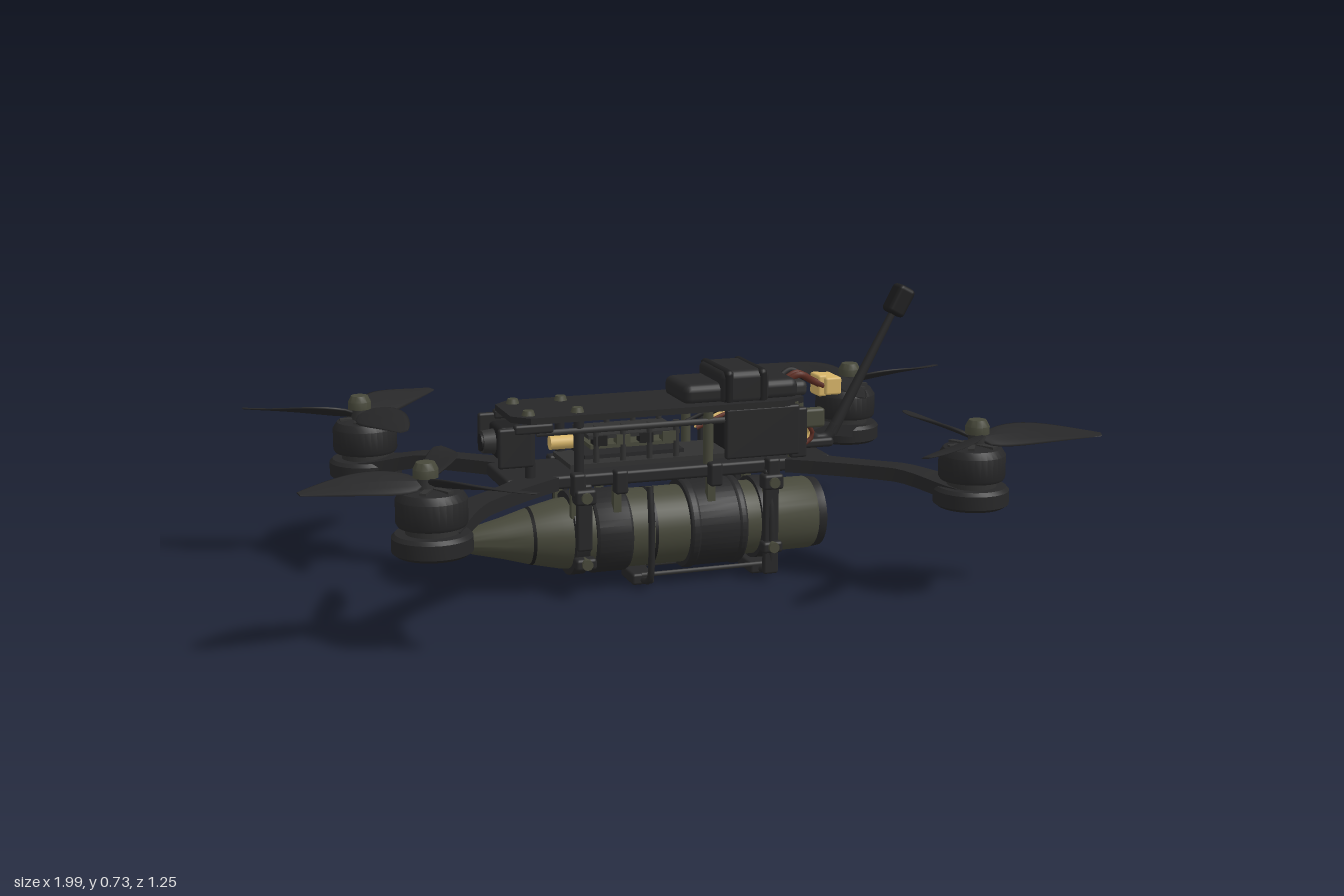
import * as THREE from 'three';
import { toCreasedNormals } from 'three/addons/utils/BufferGeometryUtils.js';
import { RoundedBoxGeometry } from 'three/addons/geometries/RoundedBoxGeometry.js';

const paint = (name, color) => Object.assign(new THREE.MeshStandardMaterial({ color }), { name });
const black = paint('carbon black', 0x272728);
const dark = paint('rubber black', 0x1e1e1f);
const grey = paint('plastic grey', 0x313131);
const olive = paint('olive', 0x47483a);
const tan = paint('connector tan', 0xd6b468);
const red = paint('wire red brown', 0x5c2c22);
const ZC = -0.008; // centre line of the fuselage
const SY = 0.142; // height of the payload axis

function add(parent, name, geo, mat, x = 0, y = 0, z = 0) {
  const m = new THREE.Mesh(geo, mat);
  m.name = name;
  m.position.set(x, y, z);
  parent.add(m);
  return m;
}
const box = (w, h, d, r = 0) => r ? new RoundedBoxGeometry(w, h, d, 2, r) : new THREE.BoxGeometry(w, h, d);
const cyl = (r1, r2, h, n = 24) => new THREE.CylinderGeometry(r1, r2, h, n);
const tube = (pts, r, n = 24) => new THREE.TubeGeometry(
  new THREE.CatmullRomCurve3(pts.map(p => new THREE.Vector3(...p)), false, 'centripetal'), n, r, 8);
const lathe = (pts, n = 32) => toCreasedNormals(
  new THREE.LatheGeometry(pts.map(p => new THREE.Vector2(...p)), n), 0.6);
const alongX = g => g.rotateZ(-Math.PI / 2);

// Twisted propeller blade pointing along +x; s sets the turning direction
function bladeGeometry(s) {
  const g = new THREE.CylinderGeometry(1, 1, 1, 12, 14);
  const p = g.attributes.position;
  for (let i = 0; i < p.count; i++) {
    const t = p.getY(i) + 0.5;
    const chord = 0.012 + 0.041 * Math.pow(Math.sin(Math.PI * Math.pow(t, 0.75)), 0.8) * (1 - 0.15 * t);
    const thick = 0.006 * (1 - 0.75 * t) + 0.0005;
    const c = p.getX(i) * chord - s * 0.016 * Math.sin(Math.PI * t);
    const h = p.getZ(i) * thick;
    const a = s * (0.5 - 0.35 * t);
    p.setXYZ(i, 0.012 + t * 0.293, h * Math.cos(a) - c * Math.sin(a) + 0.012 * t,
      c * Math.cos(a) + h * Math.sin(a));
  }
  g.computeVertexNormals();
  return g;
}

// Arm bar with a flared, slightly lowered outer end, running along +x
function armGeometry(len) {
  const g = new THREE.BoxGeometry(1, 0.034, 1, 16, 1, 1);
  const p = g.attributes.position;
  for (let i = 0; i < p.count; i++) {
    const t = p.getX(i) + 0.5;
    const w = 0.058 + 0.035 * Math.pow(1 - t, 4) + 0.085 * Math.pow(t, 5);
    const drop = 0.028 * THREE.MathUtils.smoothstep(t, 0.6, 1);
    p.setXYZ(i, t * len, p.getY(i) - drop, p.getZ(i) * w);
  }
  return toCreasedNormals(g, 0.6);
}

function motor(x, z, turn, s) {
  const g = new THREE.Group();
  g.name = 'motorUnit';
  g.position.set(x, 0, z);
  const sx = Math.sign(x), sz = Math.sign(z);
  const mx = -sx * 0.012;
  add(g, 'armPad', lathe([[0, 0.234], [0.083, 0.234], [0.094, 0.242], [0.094, 0.276], [0.086, 0.285], [0, 0.285]]), black, mx);
  add(g, 'stator', cyl(0.062, 0.062, 0.03), grey, mx, 0.295);
  add(g, 'motorBell', lathe([[0.06, 0.302], [0.078, 0.302], [0.083, 0.31], [0.083, 0.365], [0.072, 0.382], [0.055, 0.386], [0.03, 0.388], [0, 0.388]]), black, mx);
  for (let i = 0; i < 6; i++) {
    const a = i * Math.PI / 3;
    add(g, 'bellSpoke', box(0.05, 0.006, 0.016), grey, mx + Math.cos(a) * 0.04, 0.388, -Math.sin(a) * 0.04).rotation.y = a;
    add(g, 'padScrew', cyl(0.009, 0.009, 0.006, 8), dark, mx + Math.cos(a) * 0.055, 0.232, Math.sin(a) * 0.055);
  }
  add(g, 'shaft', cyl(0.022, 0.022, 0.05, 16), grey, 0, 0.40);
  add(g, 'propNut', lathe([[0, 0.415], [0.03, 0.415], [0.03, 0.434], [0.022, 0.45], [0, 0.452]], 12), olive);
  for (let i = 0; i < 3; i++) {
    const b = add(g, 'propellerBlade', bladeGeometry(s), black, 0, 0.402);
    b.rotation.y = THREE.MathUtils.degToRad(turn + i * 120);
  }
  // Arm from the fuselage corner out to the motor
  const from = new THREE.Vector2(sx * 0.33 - x, sz * 0.075 + ZC - z);
  const arm = add(g, 'arm', armGeometry(from.length() - 0.03), black, from.x, 0.298, from.y);
  arm.rotation.y = Math.atan2(from.y, -from.x);
  return g;
}

function payload() {
  const g = new THREE.Group();
  g.name = 'payload';
  g.position.set(0, SY, ZC);
  add(g, 'payloadBody', alongX(lathe([[0, -0.51], [0.028, -0.51], [0.034, -0.495], [0.052, -0.42], [0.072, -0.35],
    [0.088, -0.28], [0.096, -0.21], [0.1, -0.1], [0.1, 0.04], [0.096, 0.2], [0.094, 0.4], [0.088, 0.41]], 40)), olive);
  add(g, 'noseJoint', alongX(cyl(0.074, 0.071, 0.008, 40)), dark, -0.35);
  for (const [x, w, r] of [[-0.15, 0.095, 0.107], [0.125, 0.14, 0.112], [0.062, 0.025, 0.116], [0.19, 0.022, 0.116]])
    add(g, 'rubberBand', alongX(lathe([[0.09, -w / 2], [r - 0.004, -w / 2], [r, -w / 2 + 0.006], [r, w / 2 - 0.006], [r - 0.004, w / 2], [0.09, w / 2]], 40)), black, x);
  add(g, 'bodySeam', alongX(cyl(0.101, 0.101, 0.008, 40)), dark, -0.04);
  // Stepped tail with a round core
  add(g, 'tailRing', alongX(lathe([[0.09, 0.405], [0.092, 0.41], [0.09, 0.428], [0.078, 0.43], [0.076, 0.405]], 40)), black);
  add(g, 'tailDish', alongX(lathe([[0.078, 0.41], [0.062, 0.418], [0.06, 0.4], [0, 0.4]], 40)), olive);
  add(g, 'tailCore', alongX(lathe([[0.052, 0.39], [0.052, 0.415], [0.04, 0.425], [0, 0.428]], 32)), dark);
  // Clamps around the payload
  for (const x of [-0.235, 0.262]) {
    const low = x > 0 ? -0.125 : -0.02;
    for (const s of [1, -1]) {
      add(g, 'clampPost', box(0.04, 0.15 - low, 0.018, 0.006), black, x, (0.15 + low) / 2, s * 0.109);
      add(g, 'clampLug', box(0.055, 0.04, 0.04, 0.008), black, x, 0.12, s * 0.112);
      add(g, 'clampLug', box(0.055, 0.03, 0.035, 0.008), black, x, -0.052, s * 0.113);
      add(g, 'clampBolt', cyl(0.014, 0.014, 0.03, 10).rotateX(Math.PI / 2), olive, x, -0.05, s * 0.125);
      add(g, 'clampBolt', cyl(0.014, 0.014, 0.03, 10).rotateX(Math.PI / 2), olive, x, 0.12, s * 0.125);
    }
    add(g, 'clampRing', alongX(lathe([[0.085, -0.018], [0.107, -0.018], [0.107, 0.018], [0.085, 0.018]], 40)), black, x);
  }
  for (const x of [-0.06, 0.262]) {
    add(g, 'strapLoop', tube([[x, 0.13, 0.1], [x, 0.04, 0.113], [x, -0.06, 0.112], [x, -0.11, 0.102], [x, -0.128, 0.06],
      [x, -0.128, -0.06], [x, -0.11, -0.102], [x, -0.06, -0.112], [x, 0.04, -0.113], [x, 0.13, -0.1]], 0.009, 48), black);
    add(g, 'foot', box(0.06, 0.03, 0.1, 0.007), black, x, -0.127);
  }
  for (const s of [1, -1])
    add(g, 'lowerRail', alongX(cyl(0.006, 0.006, 0.33, 8)), grey, 0.1, -0.117, s * 0.045);
  return g;
}

function fuselage() {
  const g = new THREE.Group();
  g.name = 'fuselage';
  g.position.z = ZC;
  // Frame plates and standoffs
  add(g, 'bottomPlate', box(0.86, 0.034, 0.2, 0.008), black, 0.0, 0.298);
  add(g, 'middlePlate', box(0.56, 0.012, 0.16), grey, 0.02, 0.33);
  const top = new THREE.Shape([[-0.41, -0.075], [-0.37, -0.115], [0.3, -0.115], [0.36, -0.08],
    [0.36, 0.08], [0.3, 0.115], [-0.37, 0.115], [-0.41, 0.075]].map(p => new THREE.Vector2(...p)));
  add(g, 'topPlate', new THREE.ExtrudeGeometry(top, { depth: 0.016, bevelEnabled: false }).rotateX(-Math.PI / 2), black, 0, 0.453);
  for (const s of [1, -1]) {
    for (const x of [-0.365, -0.24, 0.1, 0.33]) {
      add(g, 'standoff', cyl(0.013, 0.013, 0.15, 12), x < 0 ? black : olive, x, 0.385, s * 0.085);
      if (x < 0) add(g, 'plateScrew', cyl(0.013, 0.018, 0.014, 12), olive, x, 0.474, s * 0.075);
    }
    for (const x of [-0.25, -0.14, 0.11, 0.265]) {
      add(g, 'frameClamp', box(0.034, 0.06, 0.035, 0.007), black, x, 0.292, s * 0.107);
      add(g, 'hangerPost', box(0.02, 0.09, 0.02), olive, x, 0.245, s * 0.075);
    }
    // Camera cage
    add(g, 'cameraCheek', box(0.09, 0.1, 0.016, 0.007), black, -0.405, 0.395, s * 0.1);
    add(g, 'cameraBumper', box(0.1, 0.025, 0.022, 0.007), black, -0.36, 0.44, s * 0.1);
    add(g, 'sideRail', alongX(cyl(0.008, 0.008, 0.5, 8)), grey, -0.1, 0.425, s * 0.092);
    add(g, 'rearLug', box(0.07, 0.05, 0.03, 0.008), olive, 0.385, 0.41, s * 0.07);
    add(g, 'rearPost', box(0.045, 0.13, 0.02, 0.006), black, 0.34, 0.38, s * 0.095);
    add(g, 'batteryBrace', box(0.2, 0.13, 0.018, 0.006), black, 0.24, 0.39, s * 0.1);
  }
  add(g, 'camera', box(0.07, 0.085, 0.1, 0.012), dark, -0.4, 0.393);
  add(g, 'cameraLens', alongX(cyl(0.033, 0.028, 0.04, 20)), grey, -0.445, 0.393);
  add(g, 'cameraGlass', alongX(cyl(0.022, 0.022, 0.006, 20)), dark, -0.467, 0.393);
  // Electronics stack
  for (const [y, w, m] of [[0.35, 0.26, black], [0.375, 0.23, olive], [0.4, 0.24, grey]])
    add(g, 'circuitBoard', box(w, 0.01, 0.14), m, -0.09, y);
  for (let i = 0; i < 4; i++)
    for (const s of [1, -1]) {
      add(g, 'chip', box(0.035, 0.025, 0.03), i % 2 ? olive : dark, -0.18 + i * 0.06, 0.39, s * 0.06);
      add(g, 'stackSpacer', cyl(0.008, 0.008, 0.1, 8), grey, -0.19 + i * 0.07, 0.38, s * 0.068);
    }
  add(g, 'capacitor', alongX(cyl(0.018, 0.018, 0.06, 12)), tan, -0.27, 0.385, 0.03);
  add(g, 'receiver', box(0.1, 0.09, 0.12, 0.008), dark, 0.2, 0.385);
  // Battery pack with its strap
  add(g, 'battery', box(0.31, 0.055, 0.165, 0.02), black, 0.195, 0.488, -0.006);
  add(g, 'batteryTop', box(0.13, 0.09, 0.19, 0.02), black, 0.2, 0.503, -0.002);
  for (const x of [0.155, 0.245])
    add(g, 'batteryStrap', box(0.025, 0.093, 0.196, 0.018), dark, x, 0.504, -0.002);
  add(g, 'batteryEnd', box(0.06, 0.04, 0.13, 0.015), grey, 0.35, 0.485);
  // Power lead
  add(g, 'connector', box(0.045, 0.046, 0.085, 0.006), tan, 0.462, 0.48, -0.004);
  add(g, 'connectorCollar', box(0.025, 0.056, 0.06, 0.006), tan, 0.437, 0.48, -0.004);
  for (const [z, m] of [[0.02, red], [-0.025, dark], [0.005, red]])
    add(g, 'powerWire', tube([[0.33, 0.495, z], [0.37, 0.515, z * 1.4], [0.41, 0.495, z], [0.44, 0.48, z]], 0.009), m);
  for (const [z, m] of [[0.03, tan], [0.05, red], [-0.03, dark]])
    add(g, 'signalWire', tube([[0.08, 0.4, z], [0.2, 0.44, z], [0.34, 0.42, z * 1.2], [0.4, 0.36, z], [0.37, 0.33, z]], 0.006), m);
  // Rear antenna
  add(g, 'antennaMount', box(0.1, 0.025, 0.06, 0.009), black, 0.42, 0.33);
  add(g, 'antennaFoot', tube([[0.4, 0.36, 0], [0.43, 0.335, 0], [0.46, 0.338, 0], [0.485, 0.37, 0]], 0.015), black);
  const mast = new THREE.Group();
  mast.name = 'antenna';
  mast.position.set(0.475, 0.35, 0);
  mast.rotation.z = -0.495;
  add(mast, 'antennaRod', cyl(0.009, 0.015, 0.37, 12), black, 0, 0.185);
  add(mast, 'antennaCap', box(0.05, 0.08, 0.054, 0.012), dark, 0, 0.385);
  g.add(mast);
  return g;
}

export function createModel() {
  const model = new THREE.Group();
  model.name = 'quadcopter';
  model.add(fuselage(), payload(),
    motor(-0.694, -0.395, -80, 1), motor(0.694, -0.395, 12, -1),
    motor(-0.694, 0.386, 72, -1), motor(0.694, 0.386, -20, 1));
  return model;
}
